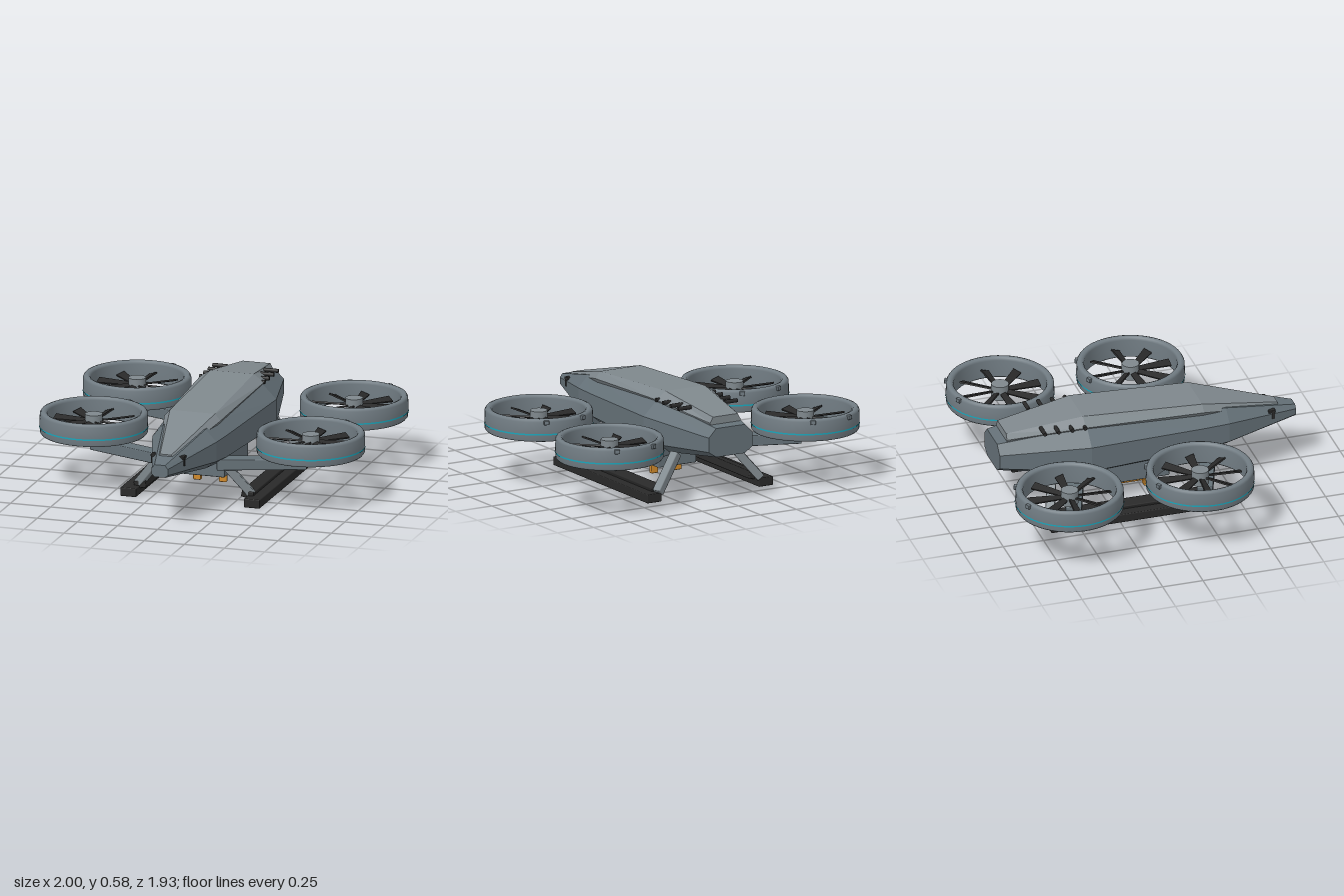
import * as THREE from 'three';
import { RoundedBoxGeometry } from 'three/addons/geometries/RoundedBoxGeometry.js';

const paint = (name, color) => {
  const m = new THREE.MeshStandardMaterial({ color });
  m.name = name;
  return m;
};

// Faceted hull through matching rings, ordered nose to tail, each ring counterclockwise seen from the front
function loft(rings) {
  const pos = [];
  const tri = (...pts) => pts.forEach(p => pos.push(...p));
  const n = rings[0].length;
  for (let i = 0; i < rings.length - 1; i++) {
    for (let j = 0; j < n; j++) {
      const k = (j + 1) % n, a = rings[i], b = rings[i + 1];
      tri(a[j], b[j], a[k]);
      tri(a[k], b[j], b[k]);
    }
  }
  const first = rings[0], last = rings[rings.length - 1];
  for (let j = 1; j < n - 1; j++) {
    tri(first[0], first[j], first[j + 1]);
    tri(last[0], last[j + 1], last[j]);
  }
  const g = new THREE.BufferGeometry();
  g.setAttribute('position', new THREE.Float32BufferAttribute(pos, 3));
  g.computeVertexNormals();
  return g;
}

// Right-hand outline points mirrored into a closed ring
const ring = (half, z) => [...half, ...half.slice().reverse().map(([x, y]) => [-x, y])].map(([x, y]) => [x, y, z]);

export function createModel() {
  const model = new THREE.Group();
  model.name = 'quadRotorDrone';
  const hullGrey = paint('hull grey', 0x657178);
  const panelGrey = paint('panel grey', 0x7f888d);
  const ductGrey = paint('duct grey', 0x717c83);
  const black = paint('rubber black', 0x292929);
  const cyan = paint('cyan light', 0x1aa5ba);
  const orange = paint('clamp orange', 0xd08a2c);

  const add = (parent, name, geometry, material, x = 0, y = 0, z = 0) => {
    const m = new THREE.Mesh(geometry, material);
    m.name = name;
    m.position.set(x, y, z);
    parent.add(m);
    return m;
  };
  const box = (w, h, d, r = 0.006) => new RoundedBoxGeometry(w, h, d, 1, r);
  // Beam with its long z axis running from a to b
  const beam = (name, a, b, w, h, material) => {
    const from = new THREE.Vector3(...a), to = new THREE.Vector3(...b);
    const m = add(model, name, box(w, h, from.distanceTo(to)), material);
    m.position.copy(from).add(to).multiplyScalar(0.5);
    m.lookAt(to);
    return m;
  };

  // Eight-sided fuselage: z, half width, bottom, top
  const hull = [[0.96, 0.05, 0.31, 0.385], [0.5, 0.2, 0.25, 0.49], [0.35, 0.215, 0.235, 0.5],
    [-0.38, 0.28, 0.225, 0.54], [-0.91, 0.15, 0.29, 0.465]];
  add(model, 'fuselage', loft(hull.map(([z, w, b, t]) => {
    const h = t - b;
    return ring([[w * 0.65, b], [w, b + h * 0.2], [w, b + h * 0.7], [w * 0.66, t]], z);
  })), hullGrey);

  // Raised back panel: z, half width, top half width, bottom, shoulder, top
  const back = [[0.85, 0.05, 0.035, 0.37, 0.4, 0.42], [0.35, 0.175, 0.14, 0.46, 0.505, 0.545],
    [-0.39, 0.2, 0.135, 0.49, 0.54, 0.585], [-0.85, 0.105, 0.085, 0.43, 0.485, 0.52]];
  add(model, 'backPanel', loft(back.map(([z, w, tw, b, s, t]) =>
    ring([[w * 0.85, b], [w, s], [tw, t]], z))), panelGrey);

  // Belly bay
  add(model, 'bellyBay', box(0.265, 0.16, 0.45), hullGrey, 0, 0.175, -0.075);
  add(model, 'bellyPlate', box(0.13, 0.03, 0.17), panelGrey, 0, 0.085, -0.075);

  // Shared rotor geometry
  const profile = [[0.277, 0.312], [0.285, 0.305], [0.312, 0.305], [0.32, 0.315], [0.322, 0.37], [0.32, 0.424],
    [0.312, 0.437], [0.298, 0.442], [0.283, 0.436], [0.275, 0.422], [0.277, 0.312]];
  const ductGeo = new THREE.LatheGeometry(profile.map(p => new THREE.Vector2(...p)), 48);
  const bandGeo = new THREE.CylinderGeometry(0.3245, 0.3245, 0.009, 48, 1, true);
  const bladeShape = new THREE.Shape([[0.03, -0.015], [0.25, -0.027], [0.25, 0.027], [0.03, 0.015]]
    .map(p => new THREE.Vector2(...p)));
  const bladeGeo = new THREE.ExtrudeGeometry(bladeShape, { depth: 0.01, bevelEnabled: false });
  bladeGeo.translate(0, 0, -0.005).rotateX(-Math.PI / 2);

  for (const s of [1, -1]) {
    for (const [end, z] of [['front', 0.165], ['rear', -0.645]]) {
      // Ducted rotor
      const rotor = new THREE.Group();
      rotor.name = `${end}Rotor`;
      rotor.position.set(s * 0.676, 0, z);
      model.add(rotor);
      add(rotor, 'duct', ductGeo, ductGrey);
      add(rotor, 'lightBand', bandGeo, cyan, 0, 0.35);
      add(rotor, 'hub', new THREE.CylinderGeometry(0.052, 0.052, 0.09, 24), panelGrey, 0, 0.375);
      for (let i = 0; i < 8; i++) {
        const spoke = new THREE.Group();
        spoke.name = 'bladePivot';
        spoke.position.y = 0.375;
        spoke.rotation.y = i * Math.PI / 4 + s * 0.06;
        rotor.add(spoke);
        add(spoke, 'blade', bladeGeo, black).rotation.x = s * 0.35;
      }
      // Lugs on the rear of the duct
      for (const a of [-0.4, 0.4]) {
        add(rotor, 'ductLug', box(0.032, 0.026, 0.026, 0.004), ductGrey,
          Math.sin(a) * 0.318, 0.422, -Math.cos(a) * 0.318).rotation.y = -a;
      }
      // Swept arm and landing strut
      const az = end === 'front' ? 0.38 : -0.435;
      beam(`${end}Arm`, [s * 0.16, 0.252, az], [s * 0.66, 0.252, az - 0.18], 0.095, 0.066, hullGrey);
      const lz = end === 'front' ? 0.36 : -0.6;
      beam(`${end}Strut`, [s * 0.19, 0.26, lz], [s * 0.355, 0.055, lz - 0.065], 0.055, 0.05, panelGrey);
    }

    // Landing skid with upper rail
    add(model, 'skid', box(0.1, 0.054, 1.08), black, s * 0.385, 0.027, -0.14);
    add(model, 'skidRail', box(0.075, 0.045, 0.96), black, s * 0.335, 0.06, -0.15).rotation.z = s * -0.2;

    // Cargo clamp: rail with a lug at each end
    add(model, 'clampRail', box(0.048, 0.03, 0.21), orange, s * 0.08, 0.085, -0.075);
    for (const z of [0.015, -0.165]) add(model, 'clampLug', box(0.048, 0.06, 0.03), orange, s * 0.08, 0.06, z);

    // Aerial pins along the back
    for (const z of [-0.395, -0.475, -0.56, -0.645]) {
      add(model, 'backPin', new THREE.CylinderGeometry(0.012, 0.012, 0.09, 10), black, s * 0.16, 0.54, z)
        .rotation.z = Math.PI / 2;
    }

    // Nose probes
    add(model, 'noseProbe', box(0.035, 0.018, 0.045, 0.004), black, s * 0.088, 0.398, 0.795);
    add(model, 'noseProbeTip', box(0.016, 0.055, 0.02, 0.004), black, s * 0.098, 0.375, 0.803);
  }
  return model;
}
